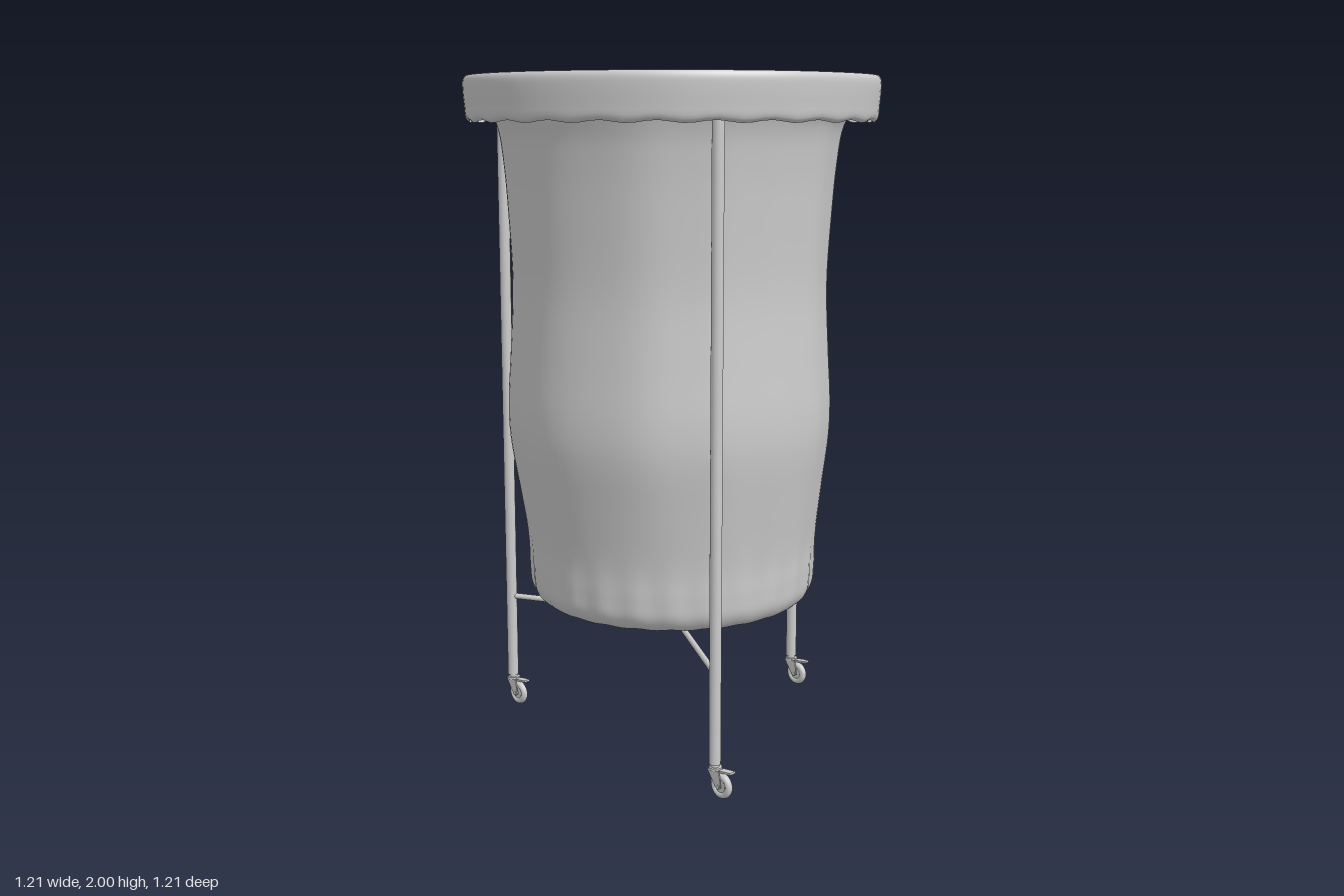
import * as THREE from 'three';

const fabric = new THREE.MeshStandardMaterial({ color: 0xcccccc, side: THREE.DoubleSide });
fabric.name = 'light grey';

const SEGMENTS = 120;
const { smoothstep, lerp } = THREE.MathUtils;

// Smooth curve through [radius, height] pairs
function profile(pairs, count) {
  const curve = new THREE.CatmullRomCurve3(pairs.map(([r, y]) => new THREE.Vector3(r, y, 0)), false, 'centripetal');
  return (t) => curve.getPoint(THREE.MathUtils.clamp(t, 0, 1));
}

// Closed loops of cloth: at(t, angle) gives the [x, y, z] of a point
function clothSurface(rows, at) {
  const positions = [];
  const index = [];
  for (let i = 0; i <= rows; i++) {
    for (let j = 0; j < SEGMENTS; j++) positions.push(...at(i / rows, (j / SEGMENTS) * Math.PI * 2));
  }
  for (let i = 0; i < rows; i++) {
    for (let j = 0; j < SEGMENTS; j++) {
      const k = (j + 1) % SEGMENTS;
      const a = i * SEGMENTS + j, b = i * SEGMENTS + k;
      const c = a + SEGMENTS, d = b + SEGMENTS;
      index.push(a, b, c, b, d, c);
    }
  }
  const geometry = new THREE.BufferGeometry();
  geometry.setAttribute('position', new THREE.Float32BufferAttribute(positions, 3));
  geometry.setIndex(index);
  geometry.computeVertexNormals();
  return geometry;
}

// 1 in the back left quarter, where the folded lip is short
function shortLip(angle) {
  const degrees = (angle * 180) / Math.PI;
  return smoothstep(degrees, 270, 277) * (1 - smoothstep(degrees, 354, 359));
}

function add(parent, name, geometry, x = 0, y = 0, z = 0) {
  const mesh = new THREE.Mesh(geometry, fabric);
  mesh.name = name;
  mesh.position.set(x, y, z);
  parent.add(mesh);
  return mesh;
}

// Rod between two points
function rod(parent, name, from, to, radius) {
  const direction = to.clone().sub(from);
  const mesh = add(parent, name, new THREE.CylinderGeometry(radius, radius, direction.length(), 20));
  mesh.position.copy(from).add(to).multiplyScalar(0.5);
  mesh.quaternion.setFromUnitVectors(new THREE.Vector3(0, 1, 0), direction.normalize());
  return mesh;
}

// Swivel caster, trailing towards +x
function caster() {
  const group = new THREE.Group();
  group.name = 'caster';
  add(group, 'stem', new THREE.CylinderGeometry(0.013, 0.013, 0.03, 16), 0, 0.095, 0);
  add(group, 'swivelPlate', new THREE.CylinderGeometry(0.019, 0.019, 0.008, 20), 0.003, 0.083, 0);
  add(group, 'tyre', new THREE.TorusGeometry(0.027, 0.011, 10, 28), 0.027, 0.038, 0);
  const hub = add(group, 'hub', new THREE.CylinderGeometry(0.023, 0.023, 0.014, 24), 0.027, 0.038, 0);
  hub.rotation.x = Math.PI / 2;
  const axle = add(group, 'axle', new THREE.CylinderGeometry(0.006, 0.006, 0.036, 12), 0.027, 0.038, 0);
  axle.rotation.x = Math.PI / 2;
  // Fork cheeks on both sides of the wheel
  const cheek = new THREE.Shape();
  cheek.moveTo(-0.016, 0.082);
  cheek.lineTo(0.03, 0.082);
  cheek.lineTo(0.037, 0.036);
  cheek.lineTo(0.026, 0.028);
  cheek.lineTo(0.016, 0.036);
  for (const z of [-0.0155, 0.0125]) {
    add(group, 'forkCheek', new THREE.ExtrudeGeometry(cheek, { depth: 0.003, bevelEnabled: false }), 0, 0, z);
  }
  const brake = add(group, 'brakeLever', new THREE.BoxGeometry(0.045, 0.006, 0.022), 0.047, 0.084, 0);
  brake.rotation.z = 0.12;
  return group;
}

export function createModel() {
  const model = new THREE.Group();
  model.name = 'laundryHamper';

  // Bag: floor, bulging wall and flared mouth
  const bagCurve = profile([
    [0, 0.436], [0.2, 0.435], [0.36, 0.433], [0.405, 0.443], [0.428, 0.475], [0.435, 0.53],
    [0.439, 0.62], [0.458, 0.78], [0.479, 0.95], [0.481, 1.05], [0.472, 1.2], [0.463, 1.4],
    [0.472, 1.6], [0.484, 1.75], [0.5, 1.85], [0.533, 1.92], [0.558, 1.975],
  ]);
  add(model, 'bag', clothSurface(90, (t, a) => {
    const p = bagCurve(t);
    const high = smoothstep(p.y, 0.55, 1.0);
    const foot = smoothstep(p.x, 0.3, 0.42) * (1 - smoothstep(p.y, 0.48, 0.7));
    const wave = Math.sin(13 * a + 2 * Math.sin(a * 2)) * 0.0025 * high
      + Math.sin(5 * a + 0.7 + p.y * 2) * 0.003 * high
      + Math.sin(26 * a) * 0.004 * foot;
    const flare = shortLip(a) * 0.014 * smoothstep(p.y, 1.86, 1.96);
    const r = p.x + (p.x > 0 ? wave + flare : 0);
    const shift = 1 - smoothstep(p.y, 1.84, 1.95);
    return [
      r * Math.cos(a) + 0.006 * high * shift,
      p.y + Math.sin(26 * a) * 0.003 * foot,
      r * Math.sin(a) + 0.014 * high * shift,
    ];
  }));

  // Cuff: hem outside, over the hoop, ragged lip inside
  const outerCurve = profile([
    [0.588, 1.868], [0.599, 1.878], [0.603, 1.91], [0.607, 1.96], [0.606, 1.985], [0.598, 1.997], [0.587, 1.997],
  ]);
  const innerCurve = profile([[0.587, 1.997], [0.57, 1.985], [0.548, 1.96], [0.521, 1.915], [0.494, 1.855]]);
  add(model, 'cuff', clothSurface(36, (t, a) => {
    const outer = t <= 0.5;
    const ragged = 0.92 + 0.06 * Math.sin(17 * a) + 0.04 * Math.sin(29 * a + 1);
    const reach = lerp(ragged, 0.3 + 0.05 * Math.sin(15 * a), shortLip(a));
    const p = outer ? outerCurve(t * 2) : innerCurve((t * 2 - 1) * reach);
    const hem = outer ? 1 - smoothstep(t, 0, 0.25) : 0;
    const fold = outer ? 0 : Math.sin(21 * a) * 0.004 * smoothstep(t, 0.55, 0.85);
    const r = p.x + fold + Math.sin(9 * a) * 0.0015;
    return [r * Math.cos(a), p.y + Math.sin(24 * a) * 0.004 * hem, r * Math.sin(a)];
  }));

  // Hoop hidden under the cuff
  const hoop = add(model, 'hoop', new THREE.TorusGeometry(0.567, 0.014, 12, 72), 0, 1.93, 0);
  hoop.rotation.x = Math.PI / 2;

  // Three legs with casters and braces meeting at the middle
  const centre = new THREE.Vector3(0, 0.36, 0);
  for (const [x, z] of [[0.463, 0.29], [-0.495, 0.24], [0.027, -0.54]]) {
    rod(model, 'leg', new THREE.Vector3(x, 0.095, z), new THREE.Vector3(x, 1.92, z), 0.017);
    rod(model, 'brace', centre, new THREE.Vector3(x, 0.36, z), 0.009);
    const wheel = caster();
    wheel.position.set(x, 0, z);
    model.add(wheel);
  }
  add(model, 'braceJoint', new THREE.SphereGeometry(0.01, 12, 8), 0, 0.36, 0);
  return model;
}
